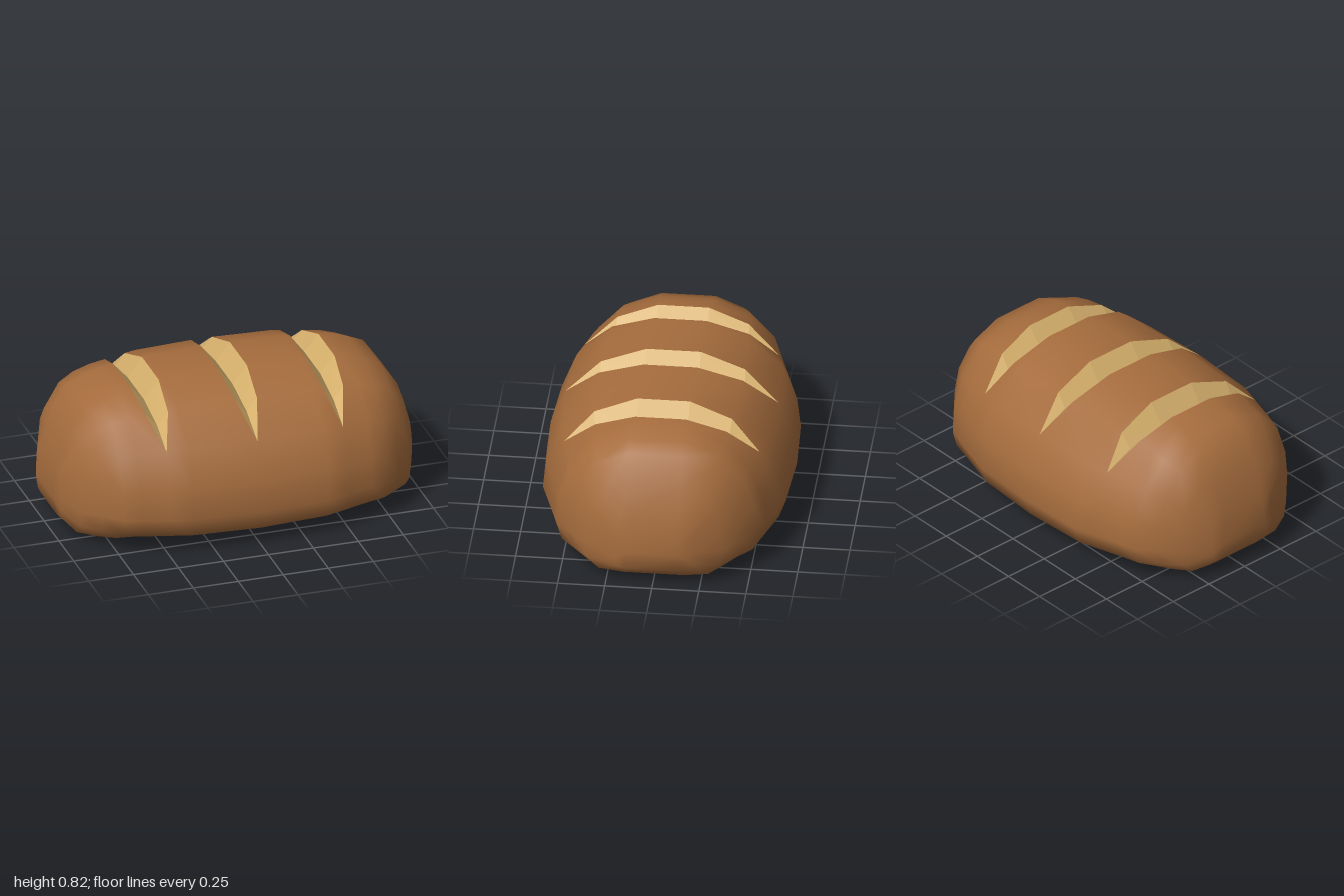
import * as THREE from 'three';
import { mergeVertices } from 'three/addons/utils/BufferGeometryUtils.js';

const MID = 0.21, WIDTH = 0.665, TOP = 0.82;

// Half cross-section at the middle of the loaf, top to bottom: [z, y]
const HALF = [[0.145, 0.82], [0.385, 0.74], [0.565, 0.58], [0.645, 0.38],
  [0.665, 0.21], [0.625, 0.10], [0.46, 0.02], [0.18, 0]];
const RING = [...HALF, ...HALF.map(([z, y]) => [-z, y]).reverse()];

// Stations along the loaf: [x, half width, top, bottom, squareness exponent]
const STATIONS = [
  [0, 0.665, 0.82, 0, 1], [0.375, 0.645, 0.812, 0.008, 1], [0.64, 0.563, 0.787, 0.02, 0.95],
  [0.73, 0.535, 0.752, 0.024, 0.85], [0.82, 0.452, 0.715, 0.027, 0.75],
  [0.915, 0.365, 0.58, 0.042, 0.62], [0.975, 0.21, 0.385, 0.10, 0.3], [1, 0.14, 0.21, 0.21, 0],
];

// Scored cuts: centre, then half width and depth on each row from the top
const CUTS = [-0.49, 0, 0.49];
const CUT_HALF = [0.08, 0.058];
const CUT_DEPTH = [0.1, 0.07];
const CUT_ROWS = [2, 1, 0, 15, 14, 13];
const fromTop = (row) => Math.min(row, RING.length - 1 - row);

function stationAt(x) {
  const ax = Math.min(Math.abs(x), 1);
  let i = 0;
  while (i < STATIONS.length - 2 && ax > STATIONS[i + 1][0]) i++;
  const a = STATIONS[i], b = STATIONS[i + 1];
  const t = (ax - a[0]) / (b[0] - a[0]);
  return a.map((v, k) => v + (b[k] - v) * t);
}

// Point on the loaf surface at length x on a ring row
function surface(x, row) {
  const [z, y] = RING[row];
  const [, width, top, bottom, power] = stationAt(x);
  const pz = Math.sign(z) * width * Math.pow(Math.abs(z) / WIDTH, power);
  const py = y >= MID
    ? MID + (y - MID) / (TOP - MID) * (top - MID)
    : MID - (MID - y) / MID * (MID - bottom);
  return [x, py, pz];
}

function cutEdge(centre, side, row) {
  return surface(centre + side * (CUT_HALF[fromTop(row)] ?? 0), row);
}

function cutBottom(centre, row) {
  const [x, y, z] = surface(centre, row);
  return [x, y - (CUT_DEPTH[fromTop(row)] ?? 0), z];
}

// Add a quad as two triangles, leaving out collapsed ones
function addQuad(out, a, b, c, d) {
  const v = (p) => new THREE.Vector3(...p);
  for (const [p, q, r] of [[a, b, c], [a, c, d]]) {
    const area = v(q).sub(v(p)).cross(v(r).sub(v(p))).length();
    if (area > 1e-7) out.push(...p, ...q, ...r);
  }
}

function toGeometry(out) {
  const g = new THREE.BufferGeometry();
  g.setAttribute('position', new THREE.Float32BufferAttribute(out, 3));
  return g;
}

function crustGeometry() {
  // Columns along x; the gap between the two edges of a cut is left open
  const columns = [];
  for (const [x] of STATIONS) {
    for (const s of x === 0 ? [] : [-1, 1]) {
      columns.push({ x: s * x, at: (row) => surface(s * x, row) });
    }
  }
  for (const c of CUTS) {
    columns.push({ x: c - 0.01, at: (row) => cutEdge(c, -1, row), opensCut: true });
    columns.push({ x: c + 0.01, at: (row) => cutEdge(c, 1, row) });
  }
  columns.sort((a, b) => a.x - b.x);

  const out = [];
  for (let i = 0; i < columns.length - 1; i++) {
    if (columns[i].opensCut) continue;
    const a = columns[i], b = columns[i + 1];
    for (let j = 0; j < RING.length; j++) {
      const k = (j + 1) % RING.length;
      addQuad(out, a.at(j), a.at(k), b.at(k), b.at(j));
    }
  }
  const g = mergeVertices(toGeometry(out), 1e-4);
  g.computeVertexNormals();
  return g;
}

// V-shaped groove: two walls meeting along the bottom
function cutGeometry(centre) {
  const out = [];
  for (let i = 0; i < CUT_ROWS.length - 1; i++) {
    const r = CUT_ROWS[i], s = CUT_ROWS[i + 1];
    const b0 = cutBottom(centre, r), b1 = cutBottom(centre, s);
    addQuad(out, cutEdge(centre, -1, r), b0, b1, cutEdge(centre, -1, s));
    addQuad(out, b0, cutEdge(centre, 1, r), cutEdge(centre, 1, s), b1);
  }
  const g = toGeometry(out);
  g.computeVertexNormals();
  return g;
}

export function createModel() {
  const crust = new THREE.MeshStandardMaterial({ color: 0xa56c3d });
  crust.name = 'crust brown';
  const crumb = new THREE.MeshStandardMaterial({ color: 0xd6b06c });
  crumb.name = 'crumb tan';

  const group = new THREE.Group();
  group.name = 'breadLoaf';

  const loaf = new THREE.Mesh(crustGeometry(), crust);
  loaf.name = 'crust';
  group.add(loaf);

  const names = ['rightCut', 'middleCut', 'leftCut'];
  CUTS.forEach((c, i) => {
    const cut = new THREE.Mesh(cutGeometry(c), crumb);
    cut.name = names[i];
    group.add(cut);
  });
  return group;
}
